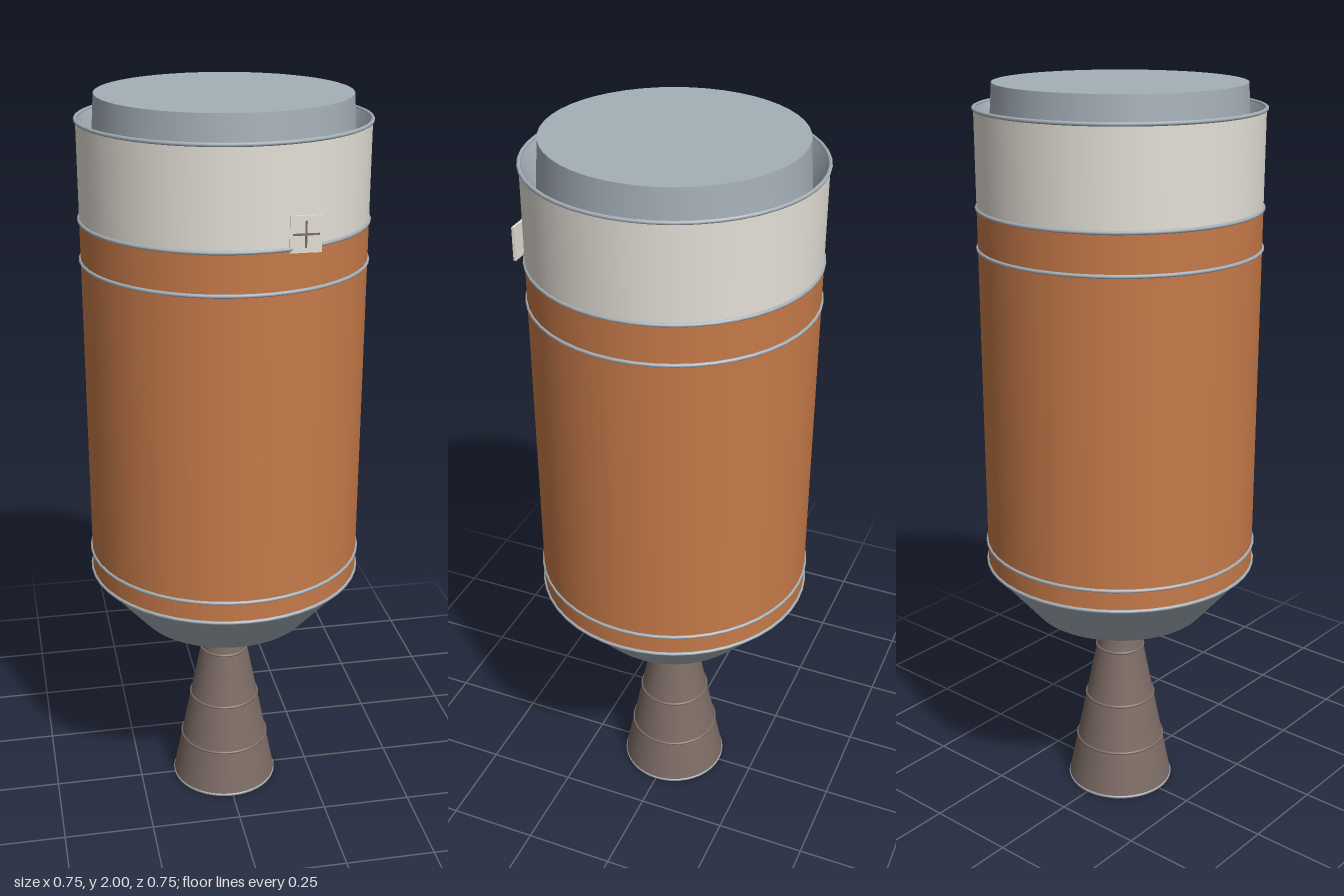
import * as THREE from 'three';

const SEG = 48;
const mat = (name, color, side = THREE.DoubleSide) => {
  const m = new THREE.MeshStandardMaterial({ color, side });
  m.name = name;
  return m;
};

export function createModel() {
  const orange = mat('orange insulation', 0xc67a49);
  const white = mat('off-white paint', 0xe4e0d7);
  const grey = mat('blue-grey metal', 0xa5afb7);
  const brown = mat('nozzle brown', 0x7d6c65);

  const model = new THREE.Group();
  model.name = 'rocketStage';

  const add = (name, geometry, material, x = 0, y = 0, z = 0, parent = model) => {
    const mesh = new THREE.Mesh(geometry, material);
    mesh.name = name;
    mesh.position.set(x, y, z);
    parent.add(mesh);
    return mesh;
  };
  // Open conical or cylindrical wall between two heights
  const wall = (name, r0, y0, r1, y1, material) =>
    add(name, new THREE.CylinderGeometry(r1, r0, y1 - y0, SEG, 1, true), material, 0, (y0 + y1) / 2);
  // Thin horizontal hoop
  const hoop = (name, r, y, tube, material) =>
    add(name, new THREE.TorusGeometry(r, tube, 8, SEG).rotateX(Math.PI / 2), material, 0, y);

  // Tank body, open underneath so that its inside shows
  wall('tank', 0.368, 0.71, 0.368, 1.69, orange);
  wall('upperBand', 0.368, 1.69, 0.368, 1.94, white);
  wall('aftSkirt', 0.242, 0.56, 0.37, 0.71, grey);
  [0.71, 0.768, 1.586, 1.69, 1.938].forEach((y, i) => hoop('tankHoop' + (i + 1), 0.368, y, 0.005, grey));

  // Sloped collar inside the top rim and the cap that rises from it
  wall('topCollar', 0.33, 1.87, 0.365, 1.94, grey);
  add('topCap', new THREE.CylinderGeometry(0.322, 0.33, 0.12, SEG), grey, 0, 1.94);

  // Engine nozzle, with its throat reaching up into the skirt
  const nozzleRadius = (y) => 0.15 - 0.196 * y;
  const profile = [[nozzleRadius(0), 0], [nozzleRadius(0.27), 0.27], [0.042, 0.55], [0.041, 0.625], [0.032, 0.638], [0, 0.64]];
  add('nozzle', new THREE.LatheGeometry(profile.map(([x, y]) => new THREE.Vector2(x, y)), SEG), brown);
  [0.134, 0.271, 0.427].forEach((y, i) => hoop('nozzleHoop' + (i + 1), nozzleRadius(y), y, 0.004, brown));
  hoop('nozzleLip', 0.147, 0.004, 0.004, grey);

  // Small flat panel on the front with a cross-shaped seam
  const panel = new THREE.Group();
  panel.name = 'frontPanel';
  panel.position.set(0.128, 1.725, 0.356);
  model.add(panel);
  add('panelPlate', new THREE.BoxGeometry(0.077, 0.088, 0.007), white, 0, 0, 0, panel);
  add('panelSeamAcross', new THREE.BoxGeometry(0.064, 0.005, 0.002), brown, 0, 0, 0.004, panel);
  add('panelSeamUpright', new THREE.BoxGeometry(0.005, 0.064, 0.002), brown, 0, 0, 0.004, panel);

  return model;
}
